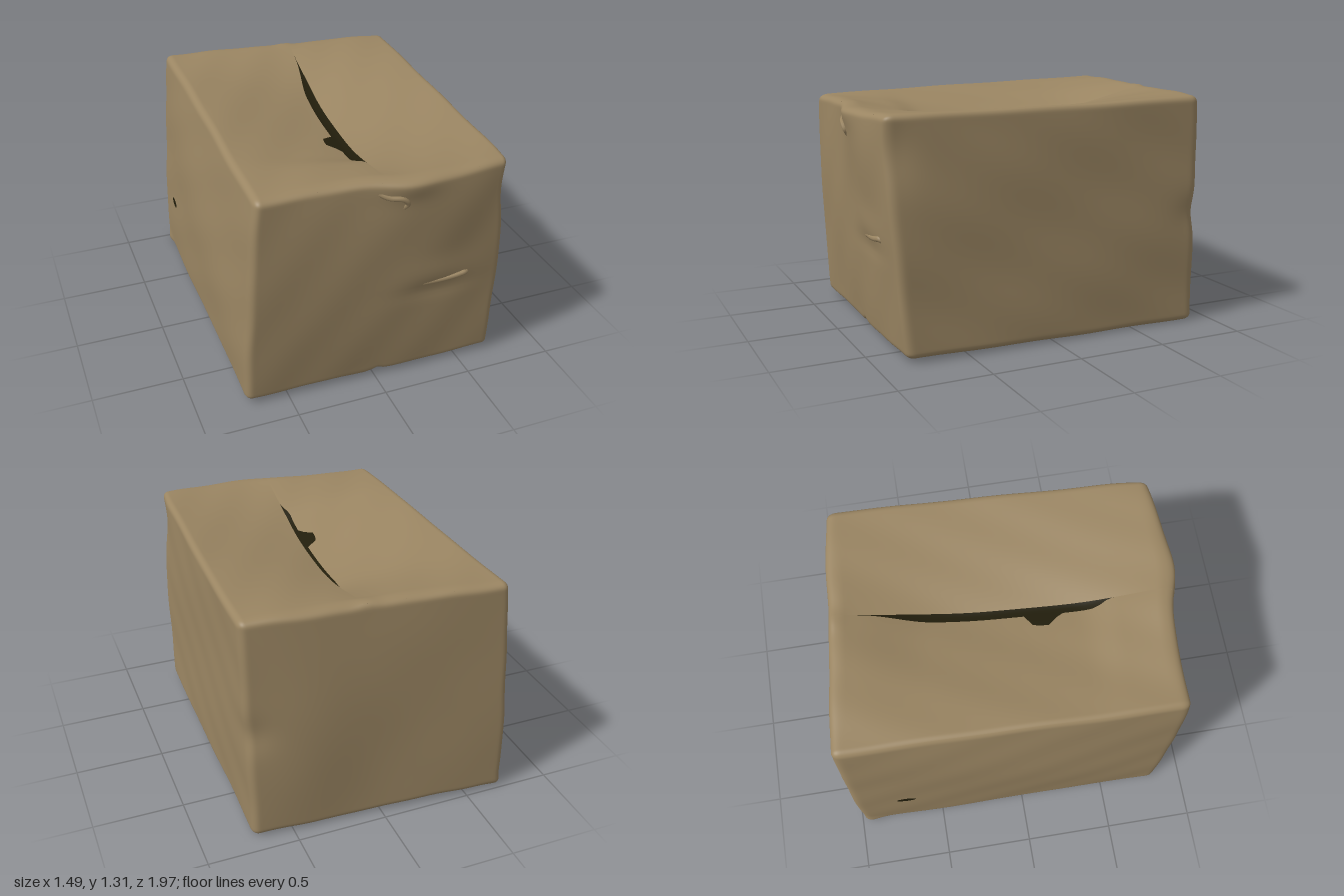
import * as THREE from 'three';
import { mergeVertices } from 'three/addons/utils/BufferGeometryUtils.js';

const lerp = THREE.MathUtils.lerp;
const smooth = THREE.MathUtils.smoothstep;
const N = 64;

// Corners of the crooked box, indexed [top][back][+x]
const C = [
  [[[-0.735, 0.025, 0.83], [0.71, 0.025, 0.845]], [[-0.72, 0.02, -0.99], [0.72, 0.008, -0.885]]],
  [[[-0.665, 1.265, 0.88], [0.685, 1.275, 0.91]], [[-0.645, 1.318, -0.995], [0.75, 1.308, -0.86]]],
].map(a => a.map(b => b.map(p => new THREE.Vector3(...p))));

// Soft bumps and dents: centre, radii, push
const bumps = [
  [[0.33, 0.66, 0.91], [0.16, 0.09, 0.3], [0, 0, 0.01]],
  [[0.3, 0.55, 0.9], [0.2, 0.05, 0.3], [0, 0, -0.008]],
  [[0.3, 1.22, 0.95], [0.36, 0.4, 0.3], [0, 0, 0.055]],
  [[0.1, 1.25, 0.95], [0.15, 0.08, 0.2], [0, 0, 0.03]],
  [[0.7, 1.1, 0.9], [0.1, 0.2, 0.12], [-0.025, 0, 0]],
  [[0.45, 0.7, -0.93], [0.3, 0.8, 0.2], [0, 0, -0.03]],
  [[0.73, 0.65, -0.9], [0.12, 0.1, 0.12], [-0.015, 0, 0.015]],
  [[0.02, 0.02, 0.85], [0.03, 0.05, 0.1], [0, 0.02, 0]],
  [[-0.08, 0.02, 0.8], [0.1, 0.05, 0.3], [0, -0.012, 0]],
  [[-0.7, 0.02, -0.95], [0.08, 0.05, 0.08], [-0.015, -0.012, 0]],
  [[0.1, 1.31, -0.92], [0.06, 0.06, 0.06], [0, 0.012, 0]],
];

// Unit cube point -> rounded, bent and dented box point
function shape(u, v, w) {
  const r = 0.055, k = 1 - r;
  const p = new THREE.Vector3(u, v, w);
  const inner = p.clone().clamp(new THREE.Vector3(-k, -k, -k), new THREE.Vector3(k, k, k));
  p.sub(inner).setLength(r).add(inner);
  const a = (p.x + 1) / 2, b = (p.y + 1) / 2, c = (1 - p.z) / 2;
  const q = [0, 1].map(t => [0, 1].map(d => C[t][d][0].clone().lerp(C[t][d][1], a)));
  const out = q[0][0].lerp(q[0][1], c).lerp(q[1][0].lerp(q[1][1], c), b);
  // walls swell slightly between their edges
  out.x += p.x * (p.x < 0 ? 0.04 : 0.003) * (1 - p.y * p.y) * (1 - 0.6 * p.z * p.z);
  out.z += p.z * (p.z > 0 ? 0.032 : 0.008) * (1 - p.y * p.y) * (1 - 0.5 * p.x * p.x);
  // worn, wavy cardboard
  const { x, y, z } = out;
  out.x += 0.003 * Math.sin(7 * y + 4 * z) + 0.0015 * Math.sin(17 * y - 9 * z);
  out.y += 0.003 * Math.sin(8 * x + 3 * z) + 0.0015 * Math.sin(19 * x + 11 * z);
  out.z += 0.003 * Math.sin(6 * x + 5 * y) + 0.0015 * Math.sin(15 * x - 11 * y);
  for (const [m, s, d] of bumps) {
    const g = Math.exp(-(((x - m[0]) / s[0]) ** 2) - ((y - m[1]) / s[1]) ** 2 - ((z - m[2]) / s[2]) ** 2);
    out.x += d[0] * g; out.y += d[1] * g; out.z += d[2] * g;
  }
  return out;
}

// Top seam position across the box, and the sagging top on either side of it
const seamAt = w => (0.035 - 0.04 * w) / 0.7;
function topPoint(side, u, w) {
  const seam = seamAt(w), z = w * 0.93;
  const d = THREE.MathUtils.clamp((u - seam) / (side - seam), 0, 1);
  let depth = 0.13 * Math.max(0, 1 - (w / 0.92) ** 2);
  if (side < 0) depth += 0.036 * smooth(z, -0.8, -0.4) * (1 - smooth(z, 0.45, 0.64));
  const p = shape(u, 1, w);
  p.y -= depth * Math.pow(1 - d, 1.25);
  return p;
}

// Surface from f(i, j), i running right and j up as seen from outside
function grid(cols, rows, f) {
  const pos = [], idx = [];
  for (let j = 0; j <= rows; j++) for (let i = 0; i <= cols; i++) pos.push(...f(i, j).toArray());
  for (let j = 0; j < rows; j++) for (let i = 0; i < cols; i++) {
    const a = j * (cols + 1) + i, d = a + cols + 1;
    idx.push(a, a + 1, d, a + 1, d + 1, d);
  }
  let g = new THREE.BufferGeometry();
  g.setAttribute('position', new THREE.Float32BufferAttribute(pos, 3));
  g.setIndex(idx);
  g = mergeVertices(g, 1e-5);
  g.computeVertexNormals();
  return g;
}

// -1..1 with steps that tighten towards the edges
const ease = i => Math.sin((i / N - 0.5) * Math.PI);

// Raised paper ridge on the front wall through points [x, y, lift]
function ridge(points, radius) {
  const path = points.map(([x, y, lift]) => {
    const p = shape(x / 0.69, (y - 0.65) / 0.625, 1);
    p.z += lift;
    return p;
  });
  return new THREE.TubeGeometry(new THREE.CatmullRomCurve3(path), 24, radius, 8);
}

export function createModel() {
  const group = new THREE.Group();
  const cardboard = new THREE.MeshStandardMaterial({ color: 0x9a8562, side: THREE.DoubleSide });
  cardboard.name = 'cardboard';
  const dark = new THREE.MeshStandardMaterial({ color: 0x221e0c, side: THREE.DoubleSide });
  dark.name = 'dark interior';
  const add = (name, geo, mat = cardboard) => {
    const m = new THREE.Mesh(geo, mat);
    m.name = name;
    group.add(m);
  };

  // four walls in one wrapped strip
  add('walls', grid(4 * N, N, (i, j) => {
    const k = Math.floor(i / N) % 4, t = ease(i % N);
    const [u, w] = [[t, 1], [1, -t], [-t, -1], [-1, t]][k];
    return shape(u, ease(j), w);
  }));

  for (const side of [-1, 1]) {
    const label = side > 0 ? 'left' : 'right';
    // distance from seam (0) to rim (1)
    const along = i => Math.sin(((side > 0 ? i : N - i) / N) * Math.PI / 2);

    // sagging top flap, with the torn gap cut from the lower one
    add(label + 'TopFlap', grid(N, N, (i, j) => {
      const w = -ease(j), z = w * 0.93;
      let edge = seamAt(w);
      if (side < 0) {
        edge -= 0.055 * smooth(z, -0.75, -0.35) * (1 - smooth(z, 0.52, 0.62));
        edge -= 0.1 * smooth(z, 0.15, 0.19) * (1 - smooth(z, 0.29, 0.33));
      }
      return topPoint(side, lerp(edge, side, along(i)), w);
    }));

    // bottom flap, creased at the seam
    add(label + 'BottomFlap', grid(N, N, (i, j) => {
      const a = along(i);
      const p = shape(lerp(0.02, side, a), -1, ease(j));
      p.y += 0.014 * Math.exp(-((a / 0.04) ** 2));
      return p;
    }));
  }

  // dark inner flap lying under the gap
  add('innerFlap', grid(16, 40, (i, j) => {
    const w = lerp(0.72, -0.86, j / 40);
    const p = topPoint(-1, seamAt(w) + lerp(-0.24, 0.17, i / 16), w);
    p.y -= 0.012;
    return p;
  }), dark);

  // small puncture in the side wall
  add('puncture', grid(16, 2, (i, j) => {
    const a = (i / 16) * Math.PI * 2, r = 1 - j / 2;
    const p = shape(-1, -0.36 + 0.035 * r * Math.sin(a), -0.67 + 0.06 * r * Math.cos(a));
    p.x -= 0.004;
    return p;
  }), dark);

  // loose curl of paper near the top, and the lifted edge of the hand slot
  add('frontCurl', ridge([[-0.06, 1.215, -0.016], [0.0, 1.19, 0], [0.07, 1.18, 0.004],
    [0.1, 1.15, 0.002], [0.085, 1.115, -0.016]], 0.014));
  add('handSlotLip', ridge([[0.2, 0.598, -0.018], [0.34, 0.606, -0.006], [0.44, 0.618, 0.002],
    [0.475, 0.622, 0], [0.49, 0.61, -0.018]], 0.015));

  return group;
}
